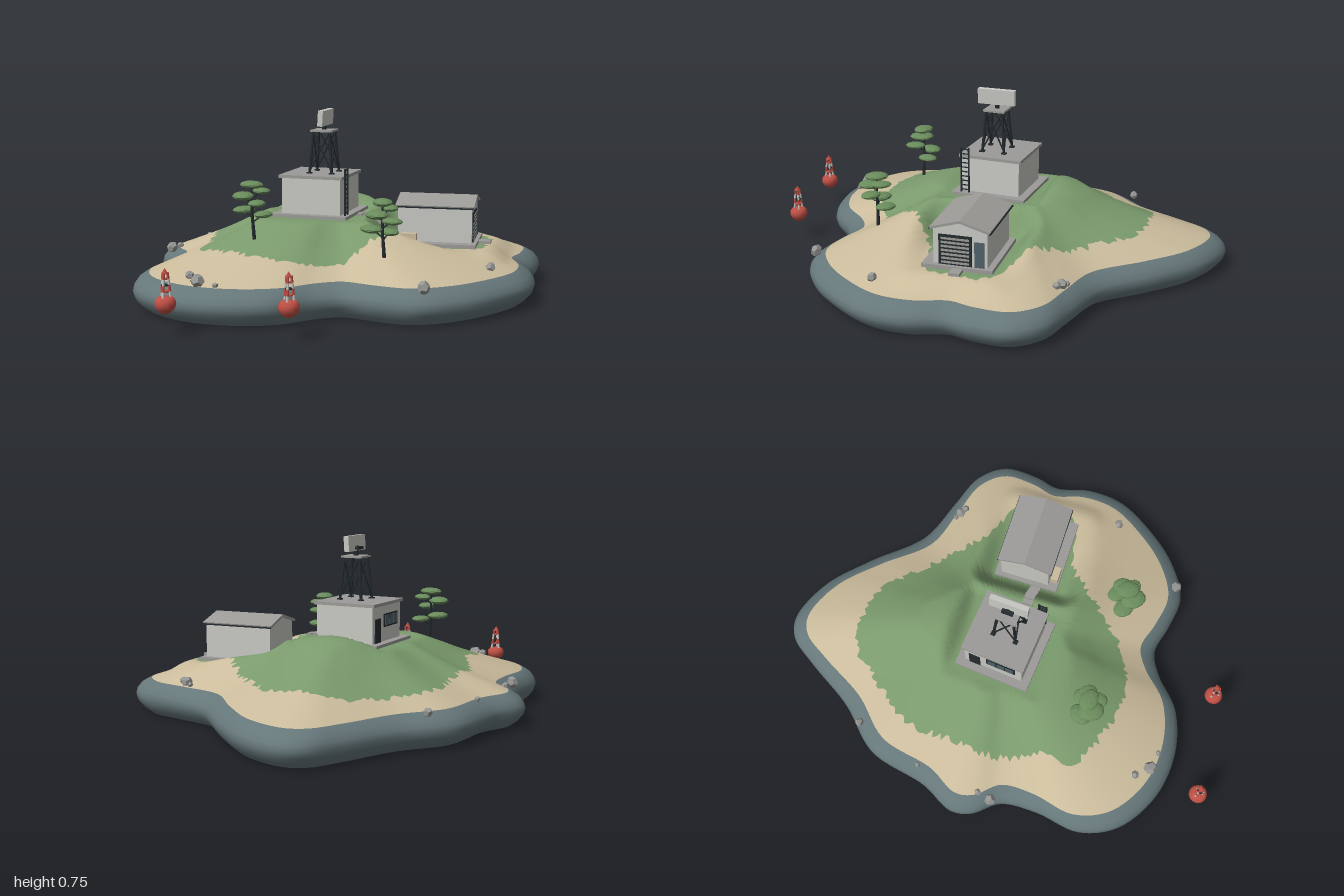
import * as THREE from 'three';

const mat = (name, color) => {
  const m = new THREE.MeshStandardMaterial({ color });
  m.name = name;
  return m;
};

export function createModel() {
  const rock = mat('shore rock', 0x66777a), sand = mat('sand', 0xcbbc9c), grass = mat('grass', 0x7a9a6c);
  const wall = mat('pale wall', 0xc9cac4), concrete = mat('concrete', 0x9c9b98), steel = mat('dark steel', 0x242c2f);
  const leaf = mat('foliage', 0x6a8c5c), red = mat('buoy red', 0xbf4f45), slate = mat('slate blue', 0x4f6069);
  const stone = mat('boulder', 0x969694);
  const root = new THREE.Group();
  root.name = 'radarIsland';
  let seed = 7;
  const rnd = () => (seed = (seed * 16807) % 2147483647) / 2147483647;

  const group = (name, parent, x = 0, y = 0, z = 0) => {
    const g = new THREE.Group();
    g.name = name;
    g.position.set(x, y, z);
    parent.add(g);
    return g;
  };
  const add = (parent, name, geo, m, x = 0, y = 0, z = 0) => {
    const o = new THREE.Mesh(geo, m);
    o.name = name;
    o.position.set(x, y, z);
    parent.add(o);
    return o;
  };
  const box = (parent, name, m, w, h, d, x, y, z) => add(parent, name, new THREE.BoxGeometry(w, h, d), m, x, y, z);
  const strut = (parent, name, m, a, b, r, r2 = r) => {
    const p = new THREE.Vector3(...a), q = new THREE.Vector3(...b), dir = q.clone().sub(p);
    const o = add(parent, name, new THREE.CylinderGeometry(r2, r, dir.length(), 6), m);
    o.position.copy(p).add(q).multiplyScalar(0.5);
    o.quaternion.setFromUnitVectors(new THREE.Vector3(0, 1, 0), dir.normalize());
    return o;
  };

  // Outlines as (x, z) pairs, turned into radius-by-angle functions
  const cx = -0.05, cz = -0.05, TAU = Math.PI * 2;
  const radial = (flat) => {
    const pts = [];
    for (let i = 0; i < flat.length; i += 2) pts.push(new THREE.Vector3(flat[i], 0, flat[i + 1]));
    const polar = new THREE.CatmullRomCurve3(pts, true).getPoints(600)
      .map(p => [(Math.atan2(p.z - cz, p.x - cx) + TAU) % TAU, Math.hypot(p.x - cx, p.z - cz)])
      .sort((a, b) => a[0] - b[0]);
    return a => {
      a = (a + TAU) % TAU;
      let k = polar.findIndex(p => p[0] >= a);
      if (k <= 0) return polar[0][1];
      const [p, q] = [polar[k - 1], polar[k]];
      return p[1] + (q[1] - p[1]) * (a - p[0]) / (q[0] - p[0] || 1);
    };
  };
  const shoreR = radial([-0.21, -1, -0.02, -0.93, 0.16, -0.77, 0.35, -0.57, 0.56, -0.49, 0.72, -0.43, 0.81, -0.32,
    0.81, -0.16, 0.785, -0.05, 0.82, 0.1, 0.805, 0.26, 0.715, 0.42, 0.58, 0.57, 0.425, 0.655, 0.27, 0.64, 0.135, 0.61,
    0.03, 0.66, -0.1, 0.77, -0.29, 0.82, -0.5, 0.79, -0.68, 0.67, -0.75, 0.51, -0.725, 0.32, -0.735, 0.16, -0.815, 0.05,
    -0.83, -0.04, -0.76, -0.185, -0.69, -0.45, -0.525, -0.635, -0.39, -0.85, -0.3, -0.97]);
  const grassR = radial([-0.28, -0.66, -0.15, -0.68, -0.02, -0.66, 0.08, -0.58, 0.16, -0.5, 0.27, -0.39, 0.35, -0.3,
    0.45, -0.24, 0.6, -0.19, 0.61, -0.05, 0.59, 0.08, 0.36, 0.15, 0.24, 0.25, 0.14, 0.38, 0.05, 0.47, -0.15, 0.53,
    -0.35, 0.49, -0.5, 0.4, -0.51, 0.25, -0.57, 0.1, -0.56, -0.15, -0.53, -0.35, -0.4, -0.52]);
  const INSET = 0.07;

  // Terrain height: hill profile, back rise, and two levelled building sites
  const profile = [[0, 0.315], [0.3, 0.32], [0.42, 0.312], [0.55, 0.27], [0.65, 0.235], [0.75, 0.205], [0.88, 0.17], [1, 0.138]];
  const level = (h, target, x, z, x0, x1, z0, z1, blend) => {
    const d = Math.hypot(Math.max(x0 - x, 0, x - x1), Math.max(z0 - z, 0, z - z1));
    return THREE.MathUtils.lerp(target, h, THREE.MathUtils.smoothstep(d, 0, blend));
  };
  const height = (x, z) => {
    const s = Math.min(1, Math.hypot(x - cx, z - cz) / (shoreR(Math.atan2(z - cz, x - cx)) - INSET));
    let k = 1;
    while (profile[k][0] < s) k++;
    const [a, b] = [profile[k - 1], profile[k]];
    let h = a[1] + (b[1] - a[1]) * (s - a[0]) / (b[0] - a[0]);
    h += 0.045 * Math.exp(-(((x + 0.1) / 0.22) ** 2) - ((z + 0.29) / 0.12) ** 2);
    h = level(h, 0.198, x, z, 0.23, 0.6, -0.18, 0.13, 0.12);
    return level(h, 0.305, x, z, -0.29, 0.07, -0.21, 0.17, 0.06);
  };

  // Island: rings of grass, sand and rounded rock, then a flat underside
  const N = 260, G = 26, S = 12, pos = [], idx = [];
  const skirt = [[0.055, 0.132], [0.025, 0.115], [0.006, 0.092], [0, 0.07], [0.008, 0.045], [0.03, 0.02], [0.058, 0], [0.058, 0]];
  const rings = 1 + G + S + skirt.length + 1;
  const shore = [], lawn = [];
  for (let j = 0; j < N; j++) {
    shore[j] = shoreR(j / N * TAU);
    lawn[j] = Math.min(grassR(j / N * TAU) + (rnd() - 0.5) * 0.035, shore[j] - INSET - 0.04);
  }
  for (let i = 0; i < rings; i++) for (let j = 0; j < N; j++) {
    const a = j / N * TAU, edge = shore[j] - INSET;
    let r, y = null;
    if (i <= G) r = lawn[j] * i / G;
    else if (i <= G + S) r = lawn[j] + (edge - lawn[j]) * (i - G) / S;
    else if (i < rings - 1) { const [o, h] = skirt[i - G - S - 1]; r = shore[j] - o; y = h; }
    else { r = 0; y = 0; }
    const x = cx + r * Math.cos(a), z = cz + r * Math.sin(a);
    pos.push(x, y ?? height(x, z), z);
  }
  for (let i = 0; i < rings - 1; i++) for (let j = 0; j < N; j++) {
    const k = (j + 1) % N, a = i * N + j, b = a + N, c = (i + 1) * N + k, d = i * N + k;
    idx.push(a, c, b, a, d, c);
  }
  const land = new THREE.BufferGeometry();
  land.setAttribute('position', new THREE.Float32BufferAttribute(pos, 3));
  land.setIndex(idx);
  land.computeVertexNormals();
  for (let j = 0; j < N; j++) land.attributes.normal.setXYZ(j, 0, 1, 0);
  const per = N * 6;
  land.addGroup(0, G * per, 0);
  land.addGroup(G * per, S * per, 1);
  land.addGroup((G + S) * per, (rings - 1 - G - S) * per, 2);
  add(root, 'island', land, [grass, sand, rock]);

  // Station building on the hilltop
  const st = group('station', root, -0.11, 0, -0.02);
  st.rotation.y = -0.09;
  box(st, 'stationSlab', concrete, 0.33, 0.04, 0.33, 0, 0.298, 0);
  box(st, 'stationWalls', wall, 0.26, 0.155, 0.26, 0, 0.393, 0);
  box(st, 'stationRoof', concrete, 0.28, 0.013, 0.28, 0, 0.476, 0);
  box(st, 'stationDoor', steel, 0.006, 0.1, 0.05, -0.131, 0.368, -0.085);
  box(st, 'windowFrame', steel, 0.006, 0.055, 0.13, -0.131, 0.405, 0.035);
  for (const z of [-0.005, 0.035, 0.075]) box(st, 'windowPane', slate, 0.004, 0.043, 0.035, -0.134, 0.405, z);
  for (const z of [0.09, 0.125]) box(st, 'ladderRail', steel, 0.006, 0.2, 0.006, 0.15, 0.417, z);
  for (let i = 0; i < 10; i++) box(st, 'ladderRung', steel, 0.005, 0.004, 0.035, 0.15, 0.33 + i * 0.02, 0.1075);

  // Lattice tower with radar panel
  const tw = group('radarTower', st, 0.02, 0.482, 0.01);
  const B = 0.05, T = 0.036, H = 0.178;
  for (let q = 0; q < 4; q++) {
    const side = group('towerSide', tw);
    side.rotation.y = q * Math.PI / 2;
    strut(side, 'towerLeg', steel, [B, 0, B], [T, H, T], 0.006);
    strut(side, 'towerBrace', steel, [B, 0.01, B], [-T, H, T], 0.0035);
    strut(side, 'towerBrace', steel, [-B, 0.01, B], [T, H, T], 0.0035);
    box(side, 'towerFoot', steel, 0.02, 0.006, 0.02, B, 0.003, B);
  }
  box(tw, 'towerPlatform', concrete, 0.095, 0.008, 0.095, 0, H + 0.004, 0);
  strut(tw, 'radarMast', steel, [0, H, 0], [0, H + 0.05, 0], 0.01);
  const dish = group('radarDish', tw, 0, H + 0.06, 0);
  dish.rotation.y = 0.04;
  box(dish, 'radarPanel', wall, 0.022, 0.066, 0.165, 0.006, 0, 0).rotation.z = -0.06;
  box(dish, 'radarFeed', steel, 0.02, 0.012, 0.05, -0.014, -0.02, 0);

  // Shed with pitched roof
  const sh = group('shed', root, 0.4, 0, -0.045);
  box(sh, 'shedSlab', concrete, 0.35, 0.025, 0.29, 0.0, 0.201, 0.01);
  const gable = new THREE.Shape([[-0.11, 0], [0.11, 0], [0.11, 0.15], [0, 0.182], [-0.11, 0.15]].map(p => new THREE.Vector2(...p)));
  const body = new THREE.ExtrudeGeometry(gable, { depth: 0.31, bevelEnabled: false }).rotateY(Math.PI / 2);
  add(sh, 'shedWalls', body, wall, -0.155, 0.212, 0);
  for (const s of [-1, 1]) {
    box(sh, 'shedRoof', concrete, 0.33, 0.01, 0.128, 0, 0.38, s * 0.06).rotation.x = s * 0.284;
    box(sh, 'shedGutter', steel, 0.33, 0.006, 0.006, 0, 0.359, s * 0.122);
  }
  box(sh, 'shutterFrame', steel, 0.006, 0.125, 0.135, 0.156, 0.276, 0.02);
  for (let i = 0; i < 7; i++) box(sh, 'shutterSlat', concrete, 0.005, 0.009, 0.115, 0.158, 0.224 + i * 0.0165, 0.02);
  box(sh, 'shedDoor', slate, 0.006, 0.105, 0.04, 0.156, 0.266, -0.078);
  box(sh, 'doorStep', concrete, 0.05, 0.012, 0.045, 0.2, 0.203, 0.005);
  box(sh, 'crate', sand, 0.065, 0.038, 0.032, -0.105, 0.232, 0.132);

  // Steps between the two buildings
  for (let i = 0; i < 6; i++) {
    const x = 0.075 + i * 0.027;
    box(root, 'pathStep', concrete, 0.022, 0.014, 0.045, x, height(x, 0.015) + 0.004, 0.015);
  }

  // Wind-shaped trees: bent trunk and flattened leaf pads
  const pads = [[0, 0.236, 0, 0.05], [0.035, 0.21, -0.015, 0.042], [-0.03, 0.192, 0.02, 0.055],
    [0.03, 0.165, 0.03, 0.045], [-0.04, 0.13, -0.02, 0.05], [0.038, 0.112, -0.03, 0.045]];
  const tree = (x, z, y, turn) => {
    const t = group('tree', root, x, y, z);
    t.rotation.y = turn;
    strut(t, 'trunk', steel, [0.01, -0.01, 0], [0, 0.12, 0], 0.008, 0.006);
    strut(t, 'trunk', steel, [0, 0.12, 0], [0, 0.235, 0], 0.006, 0.003);
    for (const [px, py, pz, r] of pads) {
      strut(t, 'branch', steel, [0, py - 0.03, 0], [px, py, pz], 0.003);
      const pad = new THREE.IcosahedronGeometry(r, 1).scale(1, 0.32, 0.8).rotateY(rnd() * 3);
      pad.computeVertexNormals();
      add(t, 'leafPad', pad, leaf, px, py, pz);
    }
  };
  tree(-0.29, 0.4, 0.245, 0);
  tree(0.245, 0.42, 0.195, 0.5);

  // Channel buoys: round float, three banded legs and a cap
  const floatLine = [[0, 0], [0.018, 0.004], [0.034, 0.02], [0.039, 0.036], [0.037, 0.05], [0.028, 0.062], [0, 0.065]];
  for (const [x, z] of [[-0.445, 0.955], [0.002, 0.91]]) {
    const b = group('buoy', root, x, 0.085, z);
    add(b, 'buoyFloat', new THREE.LatheGeometry(floatLine.map(p => new THREE.Vector2(...p)), 20), red);
    for (let q = 0; q < 3; q++) {
      const a = q * TAU / 3 + Math.PI / 2;
      for (let i = 0; i < 4; i++) {
        const at = k => [Math.cos(a) * (0.02 - k * 0.0025), 0.06 + k * 0.023, Math.sin(a) * (0.02 - k * 0.0025)];
        strut(b, 'buoyLeg', i % 2 ? red : wall, at(i), at(i + 1), 0.005);
      }
    }
    for (let i = 1; i < 4; i++) add(b, 'buoyRing', new THREE.CylinderGeometry(0.019 - i * 0.0025, 0.019 - i * 0.0025, 0.005, 6), i % 2 ? red : steel, 0, 0.06 + i * 0.023, 0);
    add(b, 'buoyCap', new THREE.ConeGeometry(0.014, 0.022, 8), red, 0, 0.158, 0);
  }

  // Boulders along the shore: x, z, size
  const boulders = [[-0.595, -0.535, 0.02], [-0.695, -0.23, 0.013], [-0.745, 0.115, 0.027], [-0.73, 0.055, 0.016],
    [-0.455, 0.675, 0.02], [-0.405, 0.73, 0.032], [-0.33, 0.745, 0.013], [0.44, 0.62, 0.027], [0.655, 0.285, 0.022],
    [0.49, -0.435, 0.024], [0.515, -0.42, 0.018], [0.465, -0.45, 0.013]];
  for (const [x, z, r] of boulders) {
    const o = add(root, 'boulder', new THREE.DodecahedronGeometry(r, 0), stone, x, height(x, z) + r * 0.45, z);
    o.rotation.set(rnd() * 3, rnd() * 3, rnd() * 3);
    o.scale.set(1, 0.85, 0.9);
  }
  return root;
}
